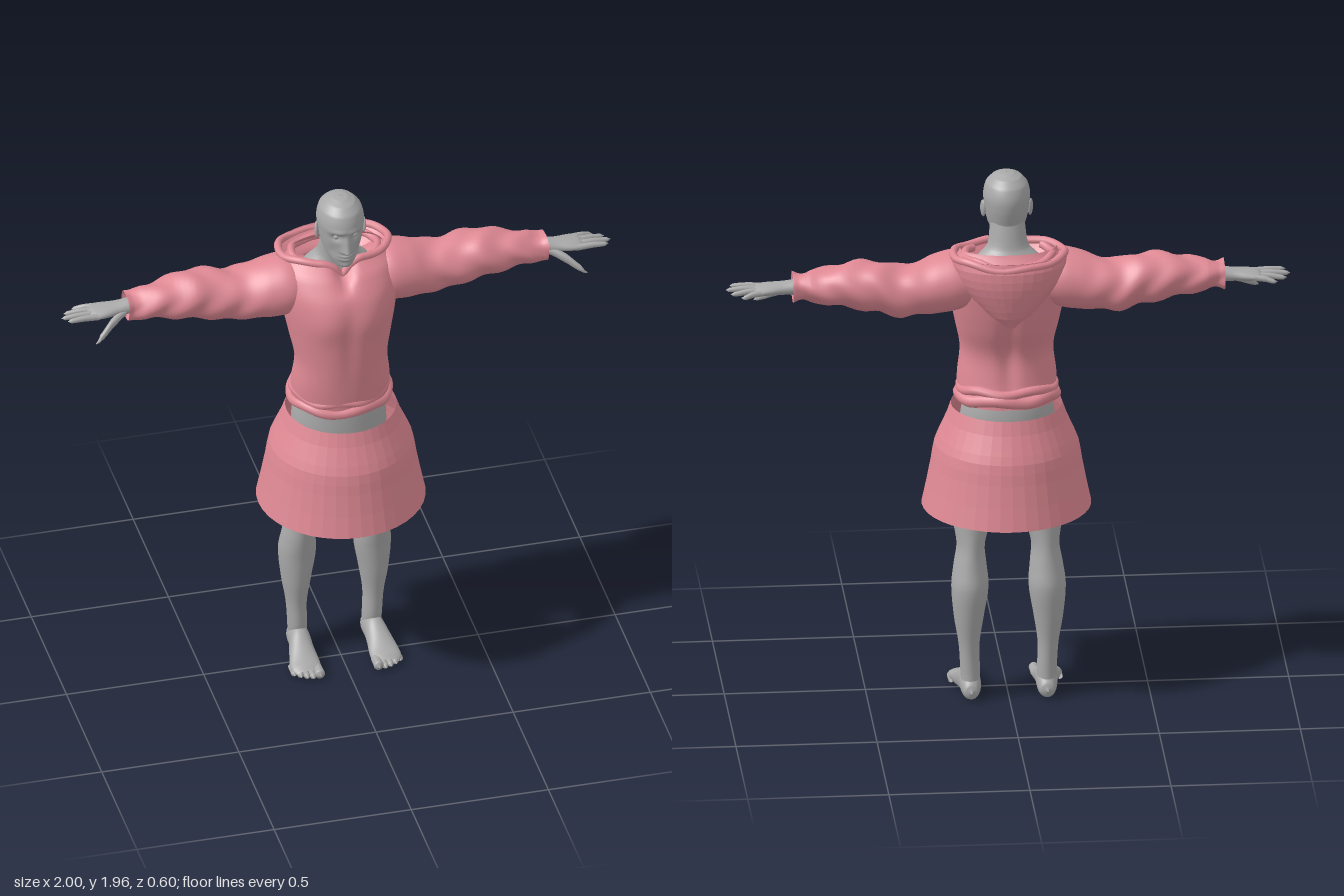
import * as THREE from 'three';

const skin = new THREE.MeshStandardMaterial({ color: 0xa9a9a9, side: THREE.DoubleSide });
skin.name = 'grey skin';
const cloth = new THREE.MeshStandardMaterial({ color: 0xdf8994, side: THREE.DoubleSide });
cloth.name = 'pink cloth';

const gauss = (d, w) => Math.exp(-(d / w) * (d / w));
const catmull = (a, b, c, d, f) =>
  b + 0.5 * f * (c - a + f * (2 * a - 5 * b + 4 * c - d + f * (3 * (b - c) + d - a)));

// Smooth skin over elliptical sections [t, u, v, ru, rv] along an axis.
// Axis x: u = y, v = z. Axis y: u = z, v = x. Axis z: u = x, v = y.
function loft(axis, rows, { sides = 32, steps = 5, warp = null } = {}) {
  const pos = [], index = [], p = new THREE.Vector3();
  const rings = (rows.length - 1) * steps;
  const row = (k) => rows[Math.min(Math.max(k, 0), rows.length - 1)];
  for (let i = 0; i <= rings; i++) {
    const k = Math.min(Math.floor(i / steps), rows.length - 2), f = i / steps - k;
    const [t, u, v, ru, rv] = [0, 1, 2, 3, 4].map((c) =>
      c === 0 ? row(k)[0] + (row(k + 1)[0] - row(k)[0]) * f
        : catmull(row(k - 1)[c], row(k)[c], row(k + 1)[c], row(k + 2)[c], f));
    for (let j = 0; j < sides; j++) {
      const a = (j / sides) * Math.PI * 2;
      const pu = u + ru * Math.cos(a), pv = v + rv * Math.sin(a);
      if (axis === 'x') p.set(t, pu, pv);
      else if (axis === 'y') p.set(pv, t, pu);
      else p.set(pu, pv, t);
      if (warp) warp(p, a);
      pos.push(p.x, p.y, p.z);
      if (i < rings) {
        const n = (j + 1) % sides, q = i * sides;
        index.push(q + j, q + n, q + sides + n, q + j, q + sides + n, q + sides + j);
      }
    }
  }
  const g = new THREE.BufferGeometry();
  g.setAttribute('position', new THREE.Float32BufferAttribute(pos, 3));
  g.setIndex(index);
  g.computeVertexNormals();
  return g;
}

function mirrored(geo) {
  const g = geo.clone().scale(-1, 1, 1), ix = g.index.array;
  for (let i = 0; i < ix.length; i += 3) [ix[i], ix[i + 1]] = [ix[i + 1], ix[i]];
  return g;
}

function faceted(geo) {
  const g = geo.toNonIndexed();
  g.computeVertexNormals();
  return g;
}

// Rolled cloth following an elliptical path; shape(a) gives the point at each angle.
function roll(shape, radius, from = 0, to = Math.PI * 2) {
  const closed = to - from > 6.28, pts = [];
  for (let i = 0; i < 40; i++) pts.push(shape(from + ((to - from) * i) / (closed ? 40 : 39)));
  return new THREE.TubeGeometry(new THREE.CatmullRomCurve3(pts, closed), 96, radius, 10, closed);
}

export function createModel() {
  const model = new THREE.Group();
  model.name = 'figure';
  const add = (name, geo, mat) => {
    const m = new THREE.Mesh(geo, mat);
    m.name = name;
    model.add(m);
  };
  const pair = (name, geo, mat) => {
    add('left ' + name, geo, mat);
    add('right ' + name, mirrored(geo), mat);
  };

  // Head, with brow, eye sockets, nose, lips and chin shaped on the front
  const face = (p) => {
    if (p.z < 0.01) return;
    const ax = Math.abs(p.x), y = p.y;
    const ridge = y > 1.782 ? Math.max(0, 1 - (y - 1.782) / 0.075) : Math.max(0, 1 - (1.782 - y) / 0.012);
    p.z += 0.026 * ridge * gauss(ax, 0.011 + 0.005 * ridge)
      - 0.014 * gauss(ax - 0.034, 0.017) * gauss(y - 1.84, 0.014)
      + 0.006 * gauss(y - 1.864, 0.009) * gauss(ax - 0.03, 0.03)
      + 0.009 * gauss(ax, 0.024) * (gauss(y - 1.763, 0.006) + gauss(y - 1.748, 0.007))
      + 0.006 * gauss(ax, 0.02) * gauss(y - 1.72, 0.012)
      - 0.006 * gauss(ax - 0.048, 0.015) * gauss(y - 1.775, 0.025);
  };
  add('head', loft('y', [
    [1.703, 0.05, 0, 0.003, 0.004], [1.712, 0.044, 0, 0.032, 0.03], [1.74, 0.018, 0, 0.066, 0.052],
    [1.77, -0.001, 0, 0.088, 0.066], [1.8, -0.007, 0, 0.095, 0.074], [1.84, -0.01, 0, 0.102, 0.08],
    [1.88, -0.01, 0, 0.104, 0.083], [1.92, -0.01, 0, 0.09, 0.074], [1.945, -0.01, 0, 0.062, 0.052],
    [1.957, -0.01, 0, 0.03, 0.026], [1.96, -0.01, 0, 0.002, 0.002],
  ], { sides: 72, steps: 8, warp: face }), skin);
  pair('eye', new THREE.SphereGeometry(0.012, 16, 12).translate(0.033, 1.84, 0.065), skin);
  pair('ear', new THREE.SphereGeometry(1, 16, 12).scale(0.008, 0.033, 0.018).rotateY(0.35)
    .rotateX(-0.15).translate(0.084, 1.825, -0.015), skin);

  // Neck flowing into the shoulders, and the waist and hips
  add('neck', loft('y', [
    [1.52, -0.08, 0, 0.1, 0.15], [1.62, -0.075, 0, 0.085, 0.145], [1.665, -0.07, 0, 0.07, 0.11],
    [1.7, -0.058, 0, 0.06, 0.074], [1.76, -0.045, 0, 0.058, 0.064], [1.82, -0.035, 0, 0.055, 0.06],
  ]), skin);
  add('hips', loft('y', [
    [0.85, -0.03, 0, 0.01, 0.02], [0.88, -0.03, 0, 0.09, 0.12], [0.95, -0.03, 0, 0.125, 0.165],
    [1.02, -0.033, 0, 0.128, 0.17], [1.1, -0.033, 0, 0.122, 0.16], [1.2, -0.02, 0, 0.11, 0.14],
  ]), skin);

  // Legs and feet
  pair('leg', loft('y', [
    [0.03, -0.1, 0.135, 0.036, 0.032], [0.1, -0.09, 0.136, 0.044, 0.035], [0.2, -0.09, 0.14, 0.05, 0.037],
    [0.3, -0.09, 0.141, 0.066, 0.052], [0.42, -0.09, 0.137, 0.08, 0.066], [0.5, -0.075, 0.135, 0.08, 0.058],
    [0.57, -0.062, 0.132, 0.08, 0.05], [0.65, -0.046, 0.127, 0.088, 0.066], [0.72, -0.036, 0.121, 0.095, 0.077],
    [0.85, -0.03, 0.1, 0.11, 0.09], [0.97, -0.03, 0.08, 0.1, 0.08],
  ]), skin);
  const ground = (p) => { p.y = Math.max(p.y, 0); };
  pair('foot', loft('z', [
    [-0.152, 0.135, 0.034, 0.003, 0.004], [-0.143, 0.135, 0.035, 0.024, 0.026], [-0.11, 0.135, 0.046, 0.036, 0.052],
    [-0.05, 0.137, 0.05, 0.039, 0.055], [0, 0.142, 0.036, 0.046, 0.043], [0.05, 0.145, 0.024, 0.054, 0.028],
    [0.09, 0.146, 0.018, 0.053, 0.02], [0.108, 0.145, 0.015, 0.04, 0.012],
  ], { warp: ground }), skin);
  for (let i = 0; i < 5; i++) {
    const r = i ? 0.0105 : 0.017, x = i ? 0.111 + i * 0.0205 : 0.107, tip = 0.137 - i * i * 0.0022;
    pair('toe ' + (i + 1), loft('z', [
      [tip - 0.06, x, r, r, r], [tip - 0.03, x, r, r, r], [tip - 0.01, x, r, r, r], [tip, x, r, 0.002, 0.002],
    ], { sides: 12, warp: ground }), skin);
  }

  // Hands: wrist and palm, four fingers and a lowered thumb
  pair('hand', loft('x', [
    [0.68, 1.573, -0.08, 0.03, 0.036], [0.76, 1.572, -0.078, 0.027, 0.033], [0.8, 1.57, -0.077, 0.023, 0.035],
    [0.85, 1.568, -0.077, 0.02, 0.045], [0.885, 1.567, -0.078, 0.015, 0.046], [0.905, 1.567, -0.078, 0.004, 0.03],
  ], { sides: 24 }), skin);
  [[-0.112, -0.128, 0.95], [-0.09, -0.1, 0.985], [-0.066, -0.068, 1], [-0.043, -0.038, 0.985]]
    .forEach(([z0, z1, tip], i) => {
      const y = 1.556 + i * 0.004, mid = (0.87 + tip) / 2;
      pair('finger ' + (i + 1), loft('x', [
        [0.87, 1.566, z0, 0.012, 0.012], [mid, (1.57 + y) / 2, (z0 + z1) / 2, 0.011, 0.01],
        [tip - 0.012, y, z1, 0.008, 0.008], [tip, y, z1, 0.001, 0.001],
      ], { sides: 12 }), skin);
    });
  pair('thumb', loft('x', [
    [0.77, 1.562, -0.06, 0.016, 0.018], [0.83, 1.537, -0.026, 0.019, 0.015],
    [0.875, 1.507, 0.003, 0.013, 0.011], [0.895, 1.492, 0.013, 0.002, 0.002],
  ], { sides: 14 }), skin);

  // Sweater body with chest relief and a notched neckline
  const notch = (p) => {
    if (p.z > -0.03) p.y -= 0.05 * gauss(p.x, 0.03) * Math.min(1, Math.max(0, (p.y - 1.6) / 0.09));
  };
  add('sweater body', loft('y', [
    [1.11, -0.022, 0, 0.145, 0.178], [1.2, -0.008, 0, 0.138, 0.176], [1.3, 0, 0, 0.138, 0.166],
    [1.4, -0.016, 0, 0.16, 0.184], [1.5, -0.03, 0, 0.174, 0.203], [1.58, -0.045, 0, 0.172, 0.213],
    [1.65, -0.065, 0, 0.142, 0.205], [1.7, -0.075, 0, 0.09, 0.17],
  ], {
    sides: 72, warp: (p) => {
      const ax = Math.abs(p.x);
      if (p.z > 0) p.z += 0.012 * gauss(ax - 0.085, 0.06) * gauss(p.y - 1.5, 0.07)
        - 0.008 * gauss(p.x, 0.03) * gauss(p.y - 1.4, 0.15);
      else p.z += 0.02 * gauss(p.x, 0.03) * gauss(p.y - 1.35, 0.2);
      notch(p);
    },
  }), cloth);

  // Bunched hem: two uneven rolls, higher at the back
  [[1.127, 0.022, 1], [1.158, 0.017, 0.98]].forEach(([y, r, k], i) =>
    add('hem roll ' + (i + 1), roll((a) => new THREE.Vector3(
      0.17 * k * Math.sin(a), y - 0.012 * Math.cos(a) + 0.006 * Math.sin(a * 5 + i * 2),
      -0.024 + (0.139 + 0.003 * Math.sin(a * 7)) * k * Math.cos(a)), r), cloth));

  // Baggy sleeves with soft folds and a flared cuff
  pair('sleeve', loft('x', [
    [0.1, 1.58, -0.07, 0.075, 0.1], [0.18, 1.58, -0.07, 0.105, 0.12], [0.25, 1.57, -0.075, 0.105, 0.118],
    [0.32, 1.557, -0.085, 0.093, 0.108], [0.39, 1.552, -0.092, 0.092, 0.1], [0.46, 1.568, -0.09, 0.09, 0.098],
    [0.53, 1.577, -0.088, 0.086, 0.094], [0.62, 1.577, -0.085, 0.069, 0.08], [0.7, 1.574, -0.08, 0.056, 0.065],
    [0.74, 1.573, -0.078, 0.048, 0.056], [0.765, 1.573, -0.078, 0.053, 0.06],
  ], {
    sides: 40, warp: (p, a) => {
      const s = 0.005 * Math.sin(p.x * 48 + 2 * Math.sin(a * 2)) * Math.min(1, Math.max(0, (p.x - 0.25) * 8));
      p.y += s * Math.cos(a);
      p.z += s * Math.sin(a);
    },
  }), cloth);

  // Lowered hood: faceted pouch, lining and rolled rim
  add('hood', faceted(loft('y', [
    [1.435, -0.185, 0, 0.01, 0.015], [1.48, -0.168, 0, 0.058, 0.075], [1.54, -0.15, 0, 0.094, 0.135],
    [1.6, -0.14, 0, 0.116, 0.178], [1.66, -0.126, 0, 0.13, 0.202], [1.695, -0.112, 0, 0.132, 0.205],
  ], { sides: 32, steps: 2, warp: notch })), cloth);
  add('hood lining', loft('y', [
    [1.63, -0.1, 0, 0.08, 0.125], [1.66, -0.105, 0, 0.105, 0.16], [1.695, -0.112, 0, 0.13, 0.203],
  ], { warp: notch }), cloth);
  const rim = (rx, rz, z, y) => (a) => {
    const p = new THREE.Vector3(rx * Math.sin(a), y + 0.004 * Math.sin(a * 6), z + rz * Math.cos(a));
    p.y -= 0.02 * Math.max(0, -Math.cos(a)) ** 3;
    notch(p);
    return p;
  };
  add('hood rim', roll(rim(0.198, 0.13, -0.112, 1.692), 0.014), cloth);
  add('hood inner fold', roll(rim(0.155, 0.11, -0.095, 1.682), 0.014, 0.9, Math.PI * 2 - 0.9), cloth);

  // Open flared skirt with stepped bands
  const profile = [[0.3, 0.7], [0.283, 0.78], [0.268, 0.86], [0.262, 0.9], [0.255, 0.935], [0.243, 0.965],
    [0.234, 0.985], [0.214, 1.03], [0.197, 1.08]].map(([r, y]) => new THREE.Vector2(r, y));
  add('skirt', faceted(new THREE.LatheGeometry(profile, 40)), cloth);

  return model;
}
